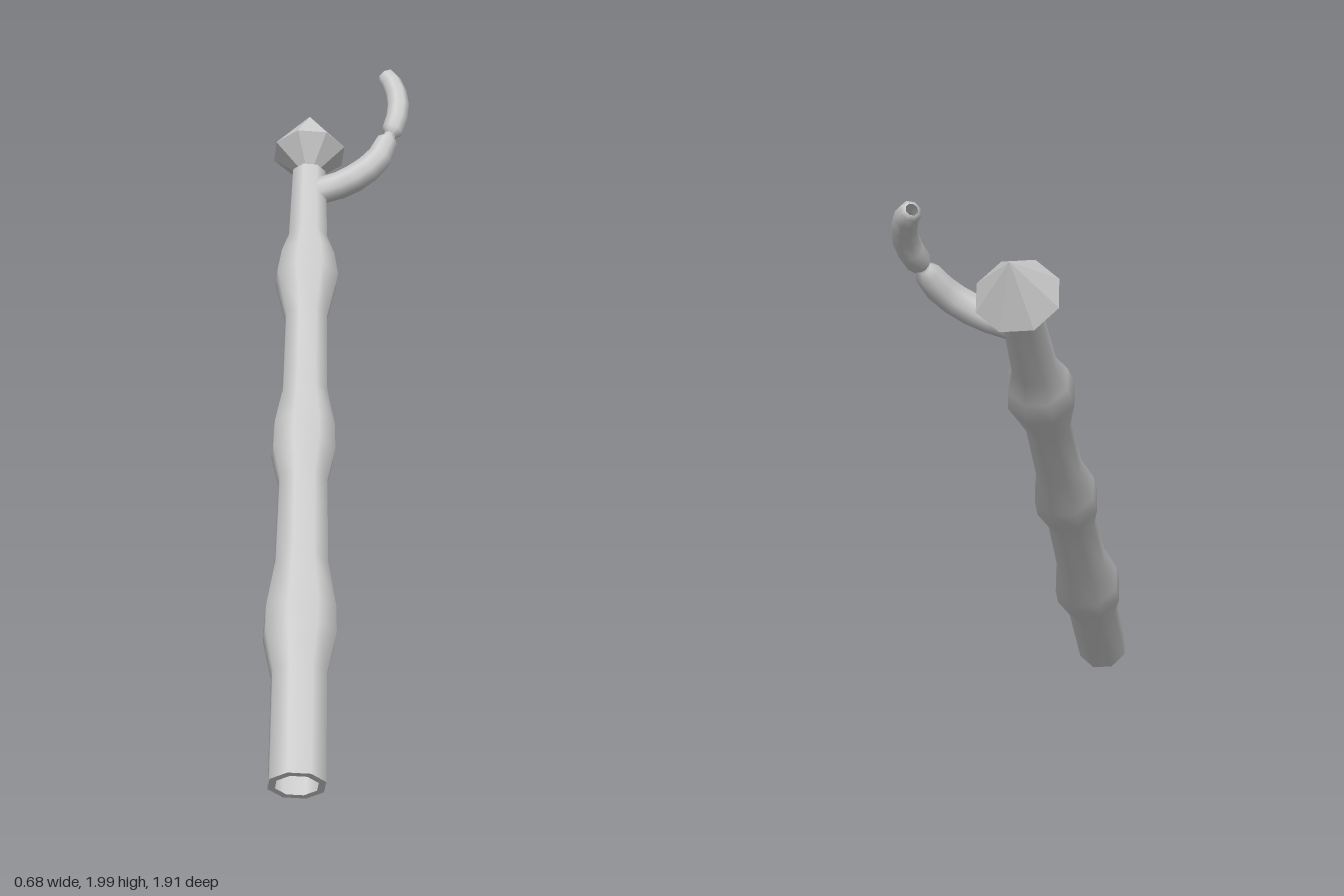
import * as THREE from 'three';

const V = (x, y, z) => new THREE.Vector3(x, y, z);
const SIDES = 8;

// Staff axis
const base = V(0.25, 0.065, 0.893);
const top = V(-0.205, 1.655, -0.65);
const axis = top.clone().sub(base);
const length = axis.length();
axis.normalize();
const lean = new THREE.Quaternion().setFromUnitVectors(V(0, 1, 0), axis);

// Plane the hook curls in
const planeNormal = V(0, 0.9, 1).normalize();

// Smooth tube through rows of [x, y, radius], lying in the hook plane
function hookTube(rows) {
  const pts = rows.map(([x, y]) => V(x, y, -0.59 - (y - 1.6) * 0.9));
  const pos = [], index = [];
  rows.forEach(([, , r], i) => {
    const t = pts[Math.min(i + 1, pts.length - 1)].clone().sub(pts[Math.max(i - 1, 0)]).normalize();
    const side = t.clone().cross(planeNormal);
    for (let j = 0; j < SIDES; j++) {
      const a = (j / SIDES) * Math.PI * 2;
      const p = pts[i].clone().addScaledVector(planeNormal, r * Math.cos(a)).addScaledVector(side, r * Math.sin(a));
      pos.push(p.x, p.y, p.z);
      if (i + 1 < rows.length) {
        const k = i * SIDES, n = (j + 1) % SIDES;
        index.push(k + j, k + n, k + SIDES + j, k + n, k + SIDES + n, k + SIDES + j);
      }
    }
  });
  const g = new THREE.BufferGeometry();
  g.setAttribute('position', new THREE.Float32BufferAttribute(pos, 3));
  g.setIndex(index);
  g.computeVertexNormals();
  return g;
}

export function createModel() {
  const model = new THREE.Group();
  const grey = new THREE.MeshStandardMaterial({ color: 0xcccccc, side: THREE.DoubleSide });
  grey.name = 'pale grey';

  const add = (name, geometry, parent = model) => {
    const mesh = new THREE.Mesh(geometry, grey);
    mesh.name = name;
    parent.add(mesh);
    return mesh;
  };

  // Tapering shaft with three knots, built upright and then leaned
  const staff = new THREE.Group();
  staff.name = 'staff';
  staff.position.copy(base);
  staff.quaternion.copy(lean);
  model.add(staff);

  const profile = [
    [0, 0.087], [0.155, 0.086], [0.212, 0.114], [0.25, 0.112], [0.32, 0.085],
    [0.45, 0.079], [0.5, 0.104], [0.54, 0.101], [0.6, 0.075],
    [0.73, 0.071], [0.802, 0.107], [0.84, 0.094], [0.875, 0.068], [1, 0.059],
  ].map(([t, r]) => new THREE.Vector2(r, t * length));
  add('shaft', new THREE.LatheGeometry(profile, SIDES), staff);

  // Hollow foot and closed top
  const rim = add('footRim', new THREE.RingGeometry(0.065, 0.087, SIDES), staff);
  rim.rotation.set(Math.PI / 2, 0, 0);
  const cap = add('shaftTop', new THREE.CircleGeometry(0.059, SIDES), staff);
  cap.rotation.x = -Math.PI / 2;
  cap.position.y = length;

  // Faceted crystal on the tip
  const gem = new THREE.LatheGeometry(
    [[0, -0.11], [0.125, 0], [0, 0.168]].map(([r, y]) => new THREE.Vector2(r, y)), SIDES).toNonIndexed();
  gem.computeVertexNormals();
  const crystal = add('crystal', gem);
  crystal.position.set(-0.223, 1.72, -0.71);
  crystal.quaternion.copy(lean);

  // Curled hook in two segments, pinched at the joint
  add('hookLower', hookTube([
    [-0.15, 1.606, 0.045], [-0.085, 1.625, 0.046], [-0.04, 1.648, 0.047], [0, 1.678, 0.046],
    [0.03, 1.715, 0.044], [0.044, 1.764, 0.038], [0.046, 1.78, 0.02], [0.048, 1.79, 0.018],
  ]));
  add('hookUpper', hookTube([
    [0.048, 1.786, 0.02], [0.052, 1.8, 0.037], [0.058, 1.84, 0.038], [0.053, 1.88, 0.038],
    [0.037, 1.917, 0.037], [0.012, 1.952, 0.035], [-0.013, 1.974, 0.031], [-0.019, 1.979, 0.018],
  ]));

  return model;
}
